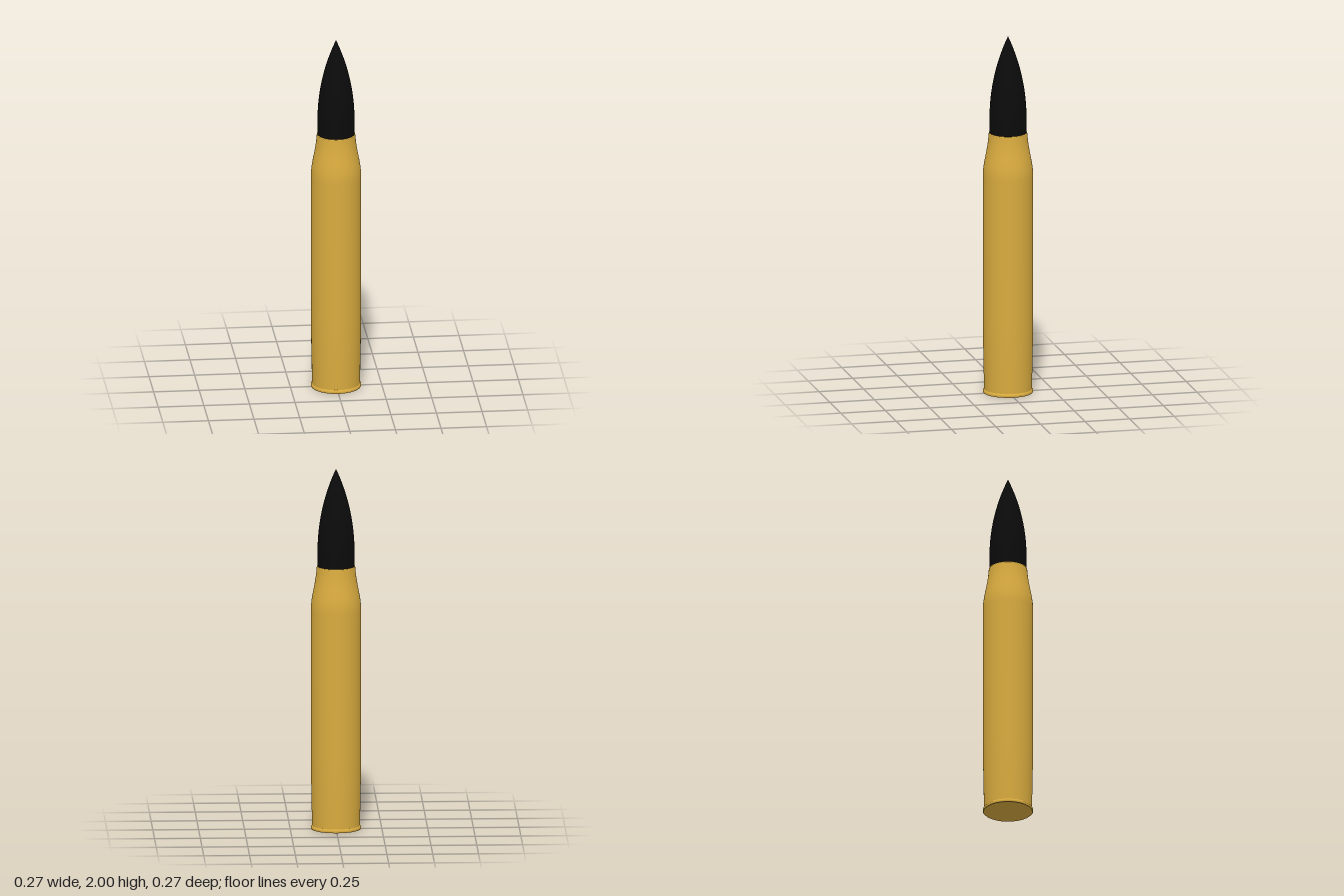
import * as THREE from 'three';

const SEGMENTS = 64;

// Revolve a list of [radius, height] points about the y axis
function lathe(name, points, material) {
  const profile = points.map(([r, y]) => new THREE.Vector2(r, y));
  const mesh = new THREE.Mesh(new THREE.LatheGeometry(profile, SEGMENTS), material);
  mesh.name = name;
  return mesh;
}

export function createModel() {
  const group = new THREE.Group();
  group.name = 'cartridge';
  const brass = new THREE.MeshStandardMaterial({ color: 0xd9ab3f });
  const black = new THREE.MeshStandardMaterial({ color: 0x0b0b0b });

  // Flat base and its thin extraction rim
  group.add(lathe('baseDisc', [[0, 0.005], [0.136, 0.005]], brass));
  group.add(lathe('rim', [[0.134, 0], [0.137, 0.004], [0.137, 0.014], [0.131, 0.02]], brass));

  // Case wall: slight taper at the foot, long body, curved shoulder, neck
  const wall = [[0.131, 0.02], [0.133, 0.14], [0.1355, 0.27], [0.137, 0.42], [0.137, 1.2]];
  const shoulder = new THREE.CubicBezierCurve(
    new THREE.Vector2(0.137, 1.22), new THREE.Vector2(0.136, 1.3),
    new THREE.Vector2(0.112, 1.35), new THREE.Vector2(0.105, 1.455));
  for (const p of shoulder.getPoints(16)) wall.push([p.x, p.y]);
  group.add(lathe('caseWall', wall, brass));

  // Flat lip closing the gap between the case mouth and the bullet
  group.add(lathe('caseMouth', [[0.105, 1.455], [0.104, 1.459], [0.098, 1.459]], brass));

  // Bullet: straight shank, then a circular-arc nose ending in a point
  const r = 0.101, start = 1.54, length = 2 - start;
  const arcRadius = (r * r + length * length) / (2 * r);
  const bullet = [[r, 1.44]];
  for (let i = 0; i <= 24; i++) {
    const h = length * i / 24;
    bullet.push([Math.max(0, Math.sqrt(arcRadius ** 2 - h * h) - arcRadius + r), start + h]);
  }
  group.add(lathe('bullet', bullet, black));

  return group;
}
